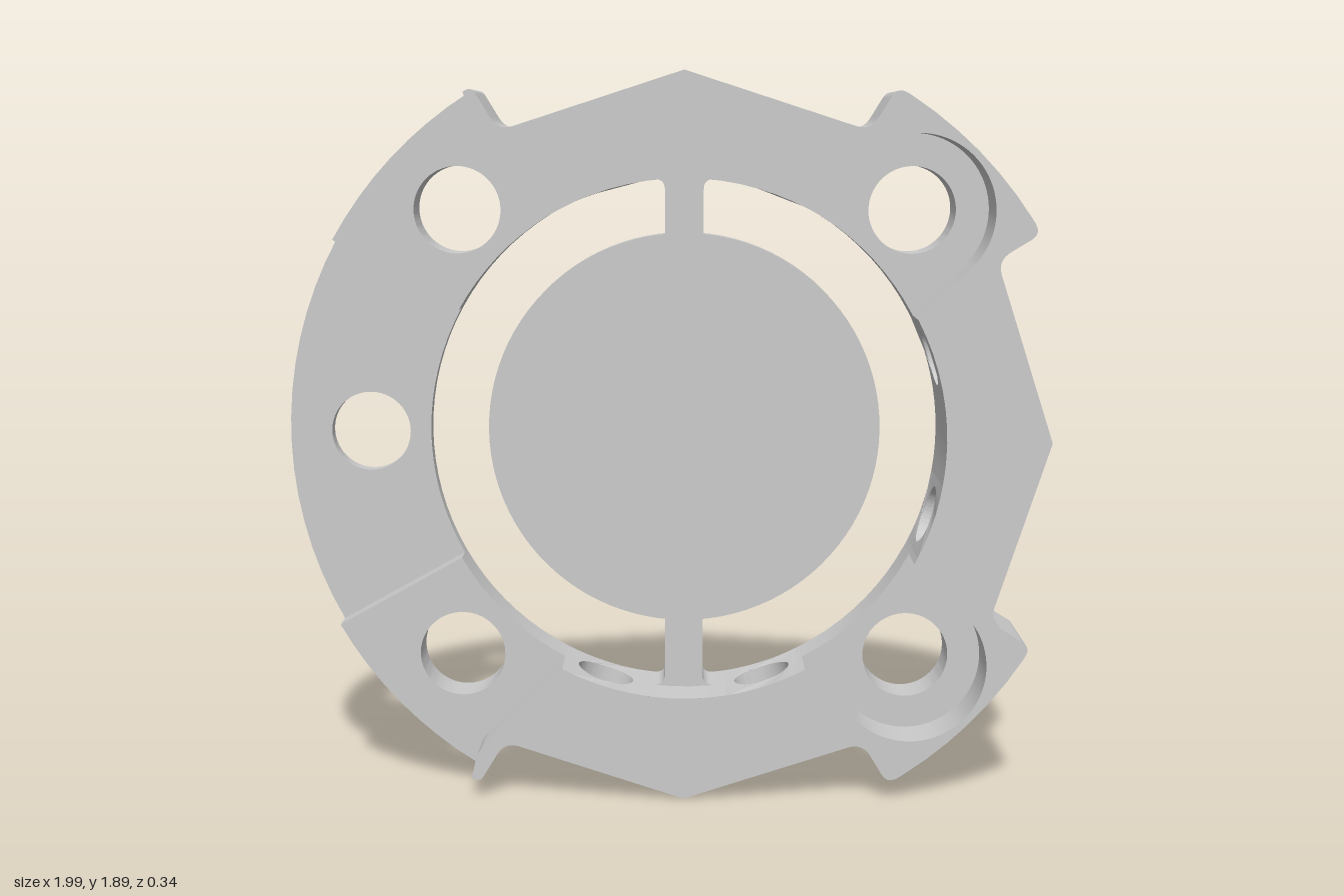
import * as THREE from 'three';
import { toCreasedNormals, mergeGeometries } from 'three/addons/utils/BufferGeometryUtils.js';

const RAD = Math.PI / 180;
const BACK = -0.095, LOW = -0.05, MID = 0.025, TOP = 0.165; // ring levels in z
const RO = 1.05, RI = 0.675, VERTEX = 0.945;                // outer, inner, decagon radius
const FOOT = VERTEX * Math.cos(18 * RAD), HALF = VERTEX * Math.sin(18 * RAD);
const HOLE_Z = 0.033, HOLE_R = 0.076;
const material = new THREE.MeshStandardMaterial({ color: 0xcccccc });

const P = (x, y) => new THREE.Vector2(x, y);
const mirror = pts => pts.map(p => P(p.x, -p.y)).reverse();

function arc(cx, cy, r, a0, a1) {
  const n = Math.max(2, Math.ceil(Math.abs(a1 - a0) / 4));
  return Array.from({ length: n + 1 }, (_, i) => {
    const a = (a0 + (a1 - a0) * i / n) * RAD;
    return P(cx + r * Math.cos(a), cy + r * Math.sin(a));
  });
}

// Open polyline with rounded corners; a third value is the tangent length
function rounded(list) {
  const out = [];
  list.forEach(([x, y, d], i) => {
    const p = P(x, y);
    if (!d) return out.push(p);
    const toward = j => p.clone().add(P(list[j][0], list[j][1]).sub(p).setLength(d));
    out.push(...new THREE.QuadraticBezierCurve(toward(i - 1), p, toward(i + 1)).getPoints(7));
  });
  return out;
}

// Band of quads between two rows of 3D points
function strip(a, b) {
  const pos = [];
  for (let i = 0; i + 1 < a.length; i++)
    for (const p of [a[i], a[i + 1], b[i + 1], a[i], b[i + 1], b[i]]) pos.push(p.x, p.y, p.z);
  const g = new THREE.BufferGeometry();
  g.setAttribute('position', new THREE.Float32BufferAttribute(pos, 3));
  return g;
}
const lift = (pts, z) => pts.map(p => new THREE.Vector3(p.x, p.y, z));
const wall = (pts, z1, z0 = BACK) => strip(lift(pts, z0), lift(pts, z1));

function face(pts, z, holes = []) {
  const s = new THREE.Shape(pts);
  s.holes = holes.map(h => new THREE.Path(h));
  return new THREE.ShapeGeometry(s).translate(0, 0, z);
}

// Rectangle in (u, z) with a round hole, mapped into space
function drilled(u0, u1, map) {
  const row = Array.from({ length: 13 }, (_, i) => u0 + (u1 - u0) * i / 12);
  const rect = [...row.map(u => P(u, BACK)), ...row.reverse().map(u => P(u, TOP))];
  const g = face(rect, 0, [arc(0, HOLE_Z, HOLE_R, 0, 356)]);
  const pos = g.attributes.position;
  for (let i = 0; i < pos.count; i++) {
    const v = map(pos.getX(i), pos.getY(i));
    pos.setXYZ(i, v.x, v.y, v.z);
  }
  return g;
}

function mesh(name, ...geos) {
  const parts = geos.map(g => {
    const n = g.index ? g.toNonIndexed() : g;
    n.deleteAttribute('uv');
    n.deleteAttribute('normal');
    return n;
  });
  const m = new THREE.Mesh(toCreasedNormals(mergeGeometries(parts), 30 * RAD), material);
  m.name = name;
  return m;
}

export function createModel() {
  const model = new THREE.Group();
  model.name = 'mountingRing';

  // Outlines of the upper half, counter-clockwise around the solid
  const xy = pts => pts.map(p => [p.x, p.y]);
  const ear = rounded([
    [VERTEX, 0], [0.793, 0.468, 0.04], [0.903, 0.535, 0.03], ...xy(arc(0, 0, RO, 33, 57)),
    [0.535, 0.903, 0.03], [0.468, 0.793, 0.04], [0, VERTEX]]).slice(1, -1);
  const rim = arc(0, 0, RO, 122, 150.8);
  const leftEar = rounded([
    [0, VERTEX], [-0.468, 0.793, 0.04], [-0.535, 0.903, 0.02], [rim[0].x, rim[0].y]]).slice(1);
  const leftRim = arc(0, 0, RO, 150.8, 180);
  const mouth = 27.94, sector = 150.8;
  const onInner = a => P(RI * Math.cos(a * RAD), RI * Math.sin(a * RAD));
  const stepEnd = onInner(90 + mouth);
  const step = rounded([[rim[0].x, rim[0].y], [-0.54, 0.82, 0.03], [stepEnd.x, stepEnd.y]]);
  const pocket = [onInner(90 - mouth), ...arc(0.59, 0.59, 0.198, 135, -45), onInner(mouth)];

  // Through holes
  const holes = [[0.59, 0.59, 0.113], [0.59, -0.59, 0.113], [-0.59, 0.59, 0.113],
    [-0.59, -0.59, 0.113], [-0.835, 0, 0.105]].map(h => arc(...h, 360, 0));
  const both = (pts, build) => [build(pts), build(mirror(pts))];

  // Back and stepped front faces
  const upper = [P(VERTEX, 0), ...ear, P(0, VERTEX), ...leftEar];
  const backHalf = [...upper, ...rim.slice(1), ...leftRim.slice(1)];
  const back = face([...backHalf, ...mirror(backHalf).slice(1, -1)], 0,
    [arc(0, 0, RI, 0, 356), ...holes.map(h => h.slice(1))]);
  back.rotateY(Math.PI).scale(1, 1, 1);
  // the half turn flips x, so rebuild by reversing the winding instead
  back.rotateY(Math.PI).translate(0, 0, BACK);
  for (let i = 0, ix = back.index; i < ix.count; i += 3) {
    const a = ix.getX(i);
    ix.setX(i, ix.getX(i + 1));
    ix.setX(i + 1, a);
  }
  const topHalf = [...upper, ...step.slice(1), ...arc(0, 0, RI, 90 + mouth, 90 - mouth).slice(1),
    ...pocket.slice(1), ...arc(0, 0, RI, mouth, 0).slice(1)];
  const pocketFloor = [...pocket, ...arc(0, 0, RI, mouth, 90 - mouth).slice(1, -1)];
  const padFloor = [...rim, ...arc(0, 0, RI, sector, 90 + mouth), ...step.slice(1, -1).reverse()];
  model.add(
    mesh('ringBack', back),
    mesh('ringFront', face([...topHalf, ...mirror(topHalf).slice(0, -1)], TOP)),
    mesh('pocketFloors', face(pocketFloor, MID, [holes[0]]), face(mirror(pocketFloor), MID, [holes[1]])),
    mesh('padFloors', face(padFloor, MID, [holes[2]]), face(mirror(padFloor), MID, [holes[3]])),
    mesh('sideFloor', face([...arc(0, 0, RO, sector, 360 - sector),
      ...arc(0, 0, RI, 360 - sector, sector)], LOW, [holes[4]])));

  // Outer walls, step walls and hole walls
  const radial = [rim[rim.length - 1], onInner(sector)];
  model.add(
    mesh('outerWalls', ...both(ear, p => wall(p, TOP)), ...both(leftEar, p => wall(p, TOP)),
      ...both(rim, p => wall(p, MID)), ...both(leftRim, p => wall(p, LOW))),
    mesh('stepWalls', ...both(step, p => wall(p, TOP, MID)), ...both(pocket, p => wall(p, TOP, MID)),
      ...both(radial, p => wall(p, MID, LOW))),
    mesh('boltHoles', ...holes.map((h, i) => wall(h, i < 4 ? MID : LOW))));

  // Inner wall, leaving gaps for the drilled patches
  const bend = Math.asin(0.1 / RI) / RAD;
  const inner = (a1, a0, z) => both(arc(0, 0, RI, a1, a0), p => wall(p, z));
  model.add(mesh('innerWall',
    ...inner(18 - bend, 0, TOP), ...inner(mouth, 18 + bend, TOP), ...inner(90 - mouth, mouth, MID),
    ...inner(72 - bend, 90 - mouth, TOP), ...inner(108 - bend, 72 + bend, TOP),
    ...inner(90 + mouth, 108 + bend, TOP), ...inner(sector, 90 + mouth, MID), ...inner(180, sector, LOW)));

  // Flats with radial holes running through to the inner wall
  for (const [deg, side] of [[18, 1], [72, -1], [108, 1], [252, -1], [288, 1], [342, -1]]) {
    const a = deg * RAD;
    const at = (r, u, z) => new THREE.Vector3(
      r * Math.cos(a) - u * Math.sin(a), r * Math.sin(a) + u * Math.cos(a), z);
    const bore = u => Math.sqrt(RI * RI - u * u);
    const [u0, u1] = side > 0 ? [-HALF, 0.16] : [-0.16, HALF];
    const ring = arc(0, HOLE_Z, HOLE_R, 0, 360);
    model.add(mesh('drilledFlat',
      drilled(u0, u1, (u, z) => at(FOOT, u, z)),
      drilled(-0.1, 0.1, (u, z) => at(bore(u), -u, z)),
      strip(ring.map(p => at(FOOT, p.x, p.y)), ring.map(p => at(bore(p.x), p.x, p.y)))));
  }

  // Cross bar with flared ends
  const flare = rounded([[0.05, 0], [0.05, 0.672, 0.03], [0.1, 0.668], [0.1, 0.68]]);
  const right = [...mirror(flare), ...flare.slice(1)];
  const barShape = new THREE.Shape([...right, ...right.map(p => P(-p.x, p.y)).reverse()]);
  model.add(mesh('crossBar', new THREE.ExtrudeGeometry(barShape,
    { depth: 0.135, bevelEnabled: false }).translate(0, 0, BACK + 0.001)));

  // Centre disc with a chamfered back edge
  const profile = [P(0, -0.17), P(0.51, -0.17), P(0.525, -0.155), P(0.525, BACK), P(0, BACK)];
  model.add(mesh('centreDisc', new THREE.LatheGeometry(profile, 96).rotateX(Math.PI / 2)));

  model.position.set(0.05, 0.945, 0);
  return model;
}
